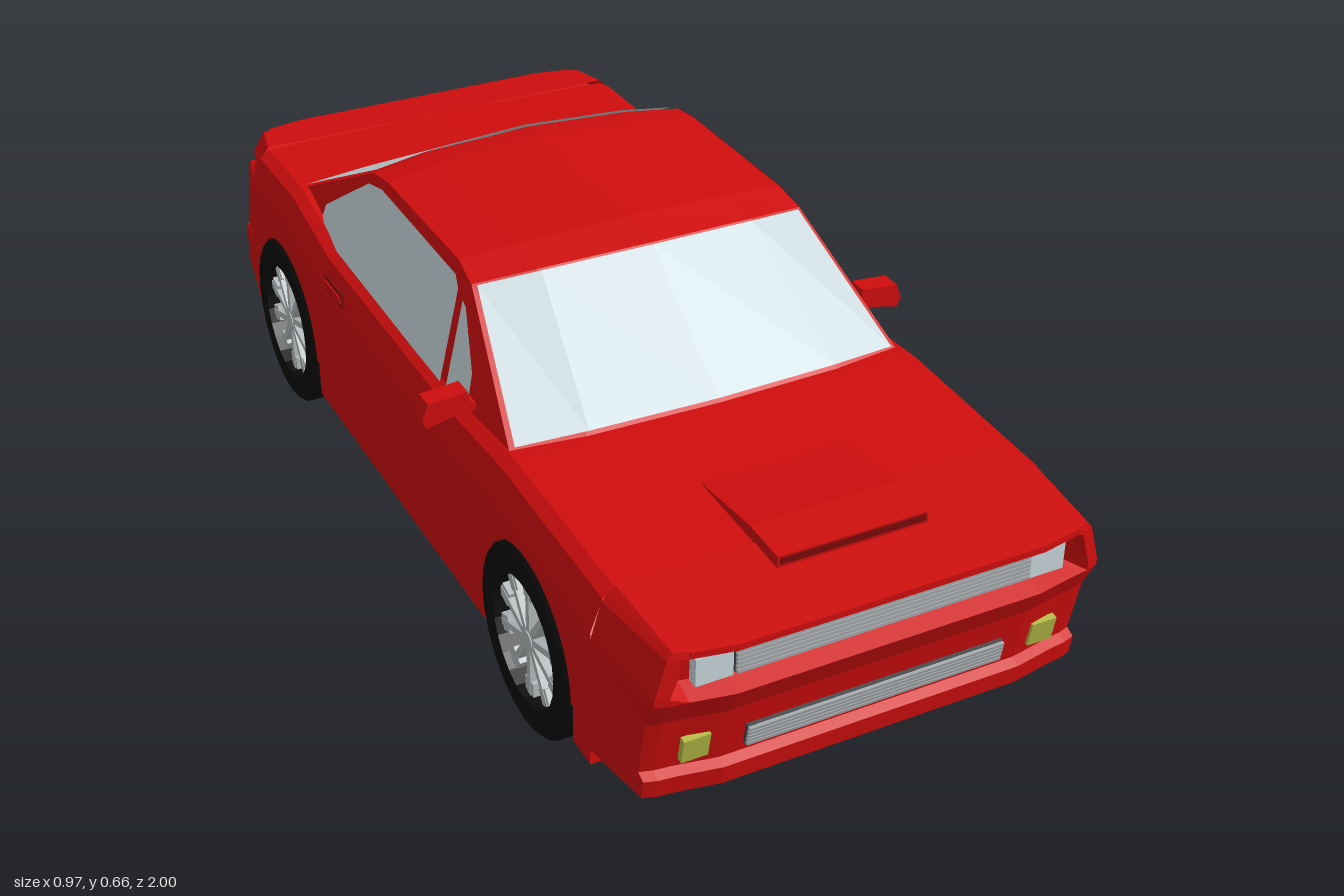
import * as THREE from 'three';

const mat = (name, color, side = THREE.FrontSide) => {
  const m = new THREE.MeshStandardMaterial({ color, side });
  m.name = name;
  return m;
};

// Flat-shaded surface through rows of [x, y, z] points
function surface(rows) {
  const pos = [];
  for (let i = 0; i < rows.length - 1; i++) {
    for (let j = 0; j < rows[i].length - 1; j++) {
      const a = rows[i][j], b = rows[i + 1][j], c = rows[i + 1][j + 1], d = rows[i][j + 1];
      pos.push(...a, ...b, ...c, ...a, ...c, ...d);
    }
  }
  const g = new THREE.BufferGeometry();
  g.setAttribute('position', new THREE.Float32BufferAttribute(pos, 3));
  g.computeVertexNormals();
  return g;
}

// Piecewise linear lookup in [key, value] pairs with rising keys
function lookup(table, k) {
  if (k <= table[0][0]) return table[0][1];
  for (let i = 1; i < table.length; i++) {
    const [k0, v0] = table[i - 1], [k1, v1] = table[i];
    if (k <= k1) return v0 + (v1 - v0) * (k - k0) / (k1 - k0);
  }
  return table[table.length - 1][1];
}

export function createModel() {
  const car = new THREE.Group();
  car.name = 'car';
  const red = mat('bodyRed', 0xcf0d0d, THREE.DoubleSide);
  const shade = mat('slotRed', 0x7a0808);
  const glass = mat('glass', 0xc6d5da, THREE.DoubleSide);
  const rubber = mat('tyreBlack', 0x0b0b0b);
  const silver = mat('spokeSilver', 0xb4b9bb);
  const slatGrey = mat('slatGrey', 0xa2a6a8);
  const gapGrey = mat('grilleGap', 0x454749);
  const amber = mat('fogYellow', 0xb3b845);

  const add = (name, geo, material, parent = car) => {
    const m = new THREE.Mesh(geo, material);
    m.name = name;
    parent.add(m);
    return m;
  };
  const box = (name, material, size, at, tilt = 0, parent = car) => {
    const m = add(name, new THREE.BoxGeometry(...size), material, parent);
    m.position.set(...at);
    m.rotation.x = tilt;
    return m;
  };

  // Main body with wheel wells, lofted from back to front
  const wheelZ = [-0.645, 0.555], wheelY = 0.175, archR = 0.18, floorY = 0.095;
  const deck = [[-0.83, 0.488], [-0.62, 0.49], [-0.42, 0.447], [0.2, 0.44], [0.42, 0.455], [0.8, 0.442]];
  const section = (z, a) => {
    const d = lookup(deck, z);
    const half = [[0, floorY], [0.27, floorY], [0.27, a], [0.432, a],
      [0.432, d - 0.08], [0.41, d - 0.02], [0.388, d - 0.006], [0, d]];
    return [...half.map(([x, y]) => [-x, y, z]), ...half.slice(0, -1).reverse().map(([x, y]) => [x, y, z])];
  };
  const stations = [section(-0.83, floorY)];
  for (const c of wheelZ) {
    stations.push(section(c - archR, floorY));
    for (let i = 0; i <= 16; i++) {
      const t = Math.PI * (1 - i / 16);
      stations.push(section(c + archR * Math.cos(t), wheelY + archR * Math.sin(t)));
    }
    stations.push(section(c + archR, floorY));
    if (c < 0) for (const z of [-0.42, -0.1, 0.2]) stations.push(section(z, floorY));
  }
  stations.push(section(0.8, floorY));
  add('body', surface(stations), red);

  // Nose and tail: rows of [y, outer z, inner z] from top to bottom; s = 1 front, -1 rear
  const endPiece = (name, s, join, top, rows) => {
    const width = (y) => lookup([[top - 0.08, 0.432], [top - 0.02, 0.41], [top, 0.388]], y);
    const flat = (y) => [0.43, 0.405, 0.38, 0.36, 0.28].map((x) => [Math.min(x, width(y)), y, join]);
    const halves = [flat(top)];
    for (const [y, zo, zi = zo] of rows) {
      const w = width(y);
      halves.push([[w, y, join], [w - 0.022, y, zo - 0.025], [w - 0.045, y, zo - 0.018],
        [0.355, y, zi - 0.014], [0.28, y, zi]]);
    }
    halves.push(flat(floorY));
    const full = halves.map((h) => [...h.map(([x, y, z]) => [-x * s, y, z * s]),
      ...h.slice().reverse().map(([x, y, z]) => [x * s, y, z * s])]);
    add(name, surface(full), red);
  };
  endPiece('nose', 1, 0.8, 0.442, [[0.43, 1], [0.418, 1], [0.412, 1, 0.965], [0.348, 1, 0.96],
    [0.335, 1], [0.28, 0.972], [0.17, 0.95], [0.162, 0.967], [0.125, 0.962]]);
  endPiece('tail', -1, 0.83, 0.488, [[0.483, 0.94], [0.447, 0.94], [0.44, 0.917], [0.426, 0.917],
    [0.42, 0.945], [0.25, 0.976], [0.245, 1], [0.15, 1], [0.138, 0.98]]);

  // Cabin roof with pillars: [z centre, z edge, y centre, y edge, half width]
  const hoops = [
    [-0.66, -0.645, 0.487, 0.475, 0.385], [-0.365, -0.35, 0.65, 0.628, 0.328],
    [-0.3, -0.28, 0.66, 0.638, 0.326], [0.08, 0.06, 0.66, 0.638, 0.326],
    [0.165, 0.125, 0.645, 0.622, 0.332], [0.43, 0.4, 0.453, 0.443, 0.386]];
  const hoopRow = ([zc, ze, yc, ye, w]) => [-1, -0.65, 0, 0.65, 1].map((t) => {
    const k = t * t;
    return [w * t, yc + (ye - yc) * k, zc + (ze - zc) * k];
  });
  add('roof', surface(hoops.map(hoopRow)), red);

  // Windscreen and rear window, laid just above the roof surface
  const pane = (name, a, b, t0, t1, dz) => {
    const mix = (t) => hoopRow(a.map((v, i) => v + (b[i] - v) * t))
      .map(([x, y, z]) => [x * 0.975, y + 0.004, z + dz]);
    add(name, surface([mix(t0), mix(t1)]), glass);
  };
  pane('rearWindow', hoops[0], hoops[1], 0.04, 0.98, -0.003);
  pane('windscreen', hoops[4], hoops[5], 0.02, 0.97, 0.003);

  // Cabin sides and side glass, drawn as [z, y] outlines on a leaning plane
  const sidePanel = (name, side, outline, material, lift) => {
    const shape = new THREE.Shape(outline.map(([z, y]) => new THREE.Vector2(-side * z, y)));
    const g = new THREE.ShapeGeometry(shape);
    const p = g.attributes.position;
    for (let i = 0; i < p.count; i++) {
      const y = p.getY(i);
      p.setXYZ(i, side * (0.39 - (y - 0.43) * 0.3 + lift), y, -side * p.getX(i));
    }
    g.computeVertexNormals();
    add(name, g, material);
  };
  const cabinSide = [[0.4, 0.43], [0.4, 0.443], [0.125, 0.622], [0.06, 0.638], [-0.28, 0.638],
    [-0.35, 0.628], [-0.645, 0.475], [-0.645, 0.43]];
  const doorGlass = [[0.112, 0.432], [0.092, 0.6], [0.07, 0.617], [-0.29, 0.621], [-0.35, 0.608],
    [-0.515, 0.495], [-0.52, 0.47], [-0.5, 0.455], [-0.42, 0.434]];
  const quarterGlass = [[0.23, 0.437], [0.137, 0.433], [0.118, 0.59], [0.135, 0.585], [0.215, 0.5]];

  for (const side of [1, -1]) {
    const tag = side > 0 ? 'left' : 'right';
    sidePanel(tag + 'CabinSide', side, cabinSide, red, 0);
    sidePanel(tag + 'DoorGlass', side, doorGlass, glass, 0.005);
    sidePanel(tag + 'QuarterGlass', side, quarterGlass, glass, 0.005);

    // Door mirror
    const m = new THREE.Shape([[0.385, 0.452], [0.425, 0.45], [0.478, 0.438], [0.486, 0.455],
      [0.474, 0.486], [0.4, 0.492], [0.395, 0.47], [0.385, 0.465]]
      .map(([x, y]) => new THREE.Vector2(side * x, y)));
    add(tag + 'Mirror', new THREE.ExtrudeGeometry(m, { depth: 0.04, bevelEnabled: false }), red)
      .position.z = 0.215;

    // Door handle
    box(tag + 'HandleRecess', shade, [0.006, 0.032, 0.09], [side * 0.431, 0.4, -0.335]);
    box(tag + 'Handle', red, [0.008, 0.016, 0.082], [side * 0.433, 0.4, -0.335]);

    // Head and fog lamps
    box(tag + 'Headlamp', glass, [0.066, 0.052, 0.02], [side * 0.307, 0.377, 0.965]);
    box(tag + 'FogLamp', amber, [0.048, 0.05, 0.012], [side * 0.327, 0.214, 0.954], 0.18);

    for (const z of wheelZ) {
      // Wheel arch lip
      const lip = add(tag + 'ArchLip', new THREE.RingGeometry(archR, 0.2, 24, 1, 0, Math.PI), red);
      lip.position.set(side * 0.436, wheelY, z);
      lip.rotation.y = side * Math.PI / 2;

      // Wheel: hollow tyre, hub and spokes, axle along local y pointing outward
      const wheel = new THREE.Group();
      wheel.name = tag + (z > 0 ? 'FrontWheel' : 'RearWheel');
      wheel.position.set(side * 0.36, wheelY, z);
      wheel.rotation.z = -side * Math.PI / 2;
      car.add(wheel);
      const tyre = [[0.122, -0.08], [0.168, -0.08], [0.175, -0.073], [0.175, 0.073],
        [0.168, 0.08], [0.122, 0.08], [0.122, -0.08]].map(([r, h]) => new THREE.Vector2(r, h));
      const tyreGeo = new THREE.LatheGeometry(tyre, 24).toNonIndexed();
      tyreGeo.computeVertexNormals();
      add('tyre', tyreGeo, rubber, wheel);
      add('hub', new THREE.CylinderGeometry(0.018, 0.022, 0.04, 12), silver, wheel).position.y = 0.052;
      for (let i = 0; i < 10; i++) {
        const spoke = new THREE.Group();
        spoke.name = 'spoke';
        spoke.rotation.y = i * Math.PI / 5;
        wheel.add(spoke);
        box('spokeBar', silver, [0.1, 0.03, 0.013], [0.066, 0.055, 0], 0, spoke);
        box('spokeEnd', silver, [0.028, 0.03, 0.032], [0.1, 0.054, 0], 0, spoke);
      }
    }
  }

  // Grilles: backing plate with slats
  const grille = (name, w, y, h, z, count, tilt) => {
    const g = new THREE.Group();
    g.name = name;
    g.position.set(0, y, z);
    g.rotation.x = tilt;
    car.add(g);
    box('grilleBack', gapGrey, [w, h, 0.01], [0, 0, 0], 0, g);
    for (let i = 0; i < count; i++) {
      const step = h / count;
      box('slat', slatGrey, [w, step * 0.72, 0.012], [0, -h / 2 + (i + 0.5) * step, 0.005], 0, g);
    }
  };
  grille('upperGrille', 0.54, 0.382, 0.056, 0.969, 7, 0);
  grille('lowerGrille', 0.48, 0.212, 0.042, 0.96, 5, 0.18);

  // Bonnet scoop with front slot
  const scoop = new THREE.Shape([[0.87, 0.43], [0.87, 0.46], [0.78, 0.464], [0.62, 0.447], [0.62, 0.43]]
    .map(([z, y]) => new THREE.Vector2(z, y)));
  const scoopGeo = new THREE.ExtrudeGeometry(scoop, { depth: 0.28, bevelEnabled: false });
  scoopGeo.rotateY(-Math.PI / 2).translate(0.14, 0, 0);
  add('bonnetScoop', scoopGeo, red);
  box('scoopSlot', shade, [0.27, 0.012, 0.006], [0, 0.451, 0.87]);

  // Rear plate holder
  box('plateHolder', red, [0.15, 0.045, 0.014], [0, 0.28, -0.972], 0.18);

  return car;
}
